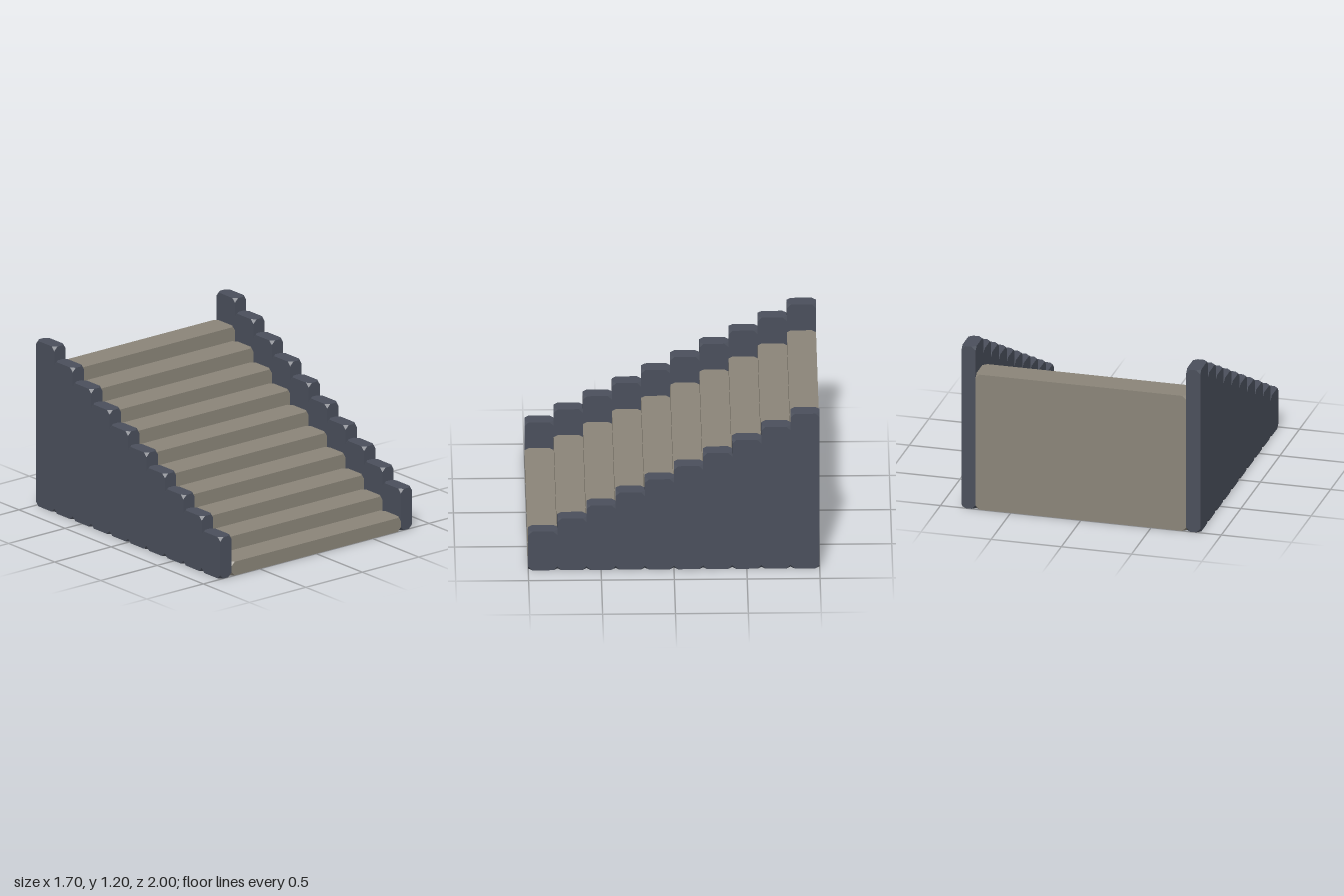
import * as THREE from 'three';
import { ConvexGeometry } from 'three/addons/geometries/ConvexGeometry.js';

const STEPS = 10, DEPTH = 0.2, RISE = 0.1, CUT = 0.028;

// Box standing on y = 0 with its eight corners cut off
function cutBlock(w, h, d) {
  const points = [];
  for (const sx of [-1, 1]) for (const sy of [-1, 1]) for (const sz of [-1, 1]) {
    for (let axis = 0; axis < 3; axis++) {
      const p = new THREE.Vector3(sx * w / 2, sy * h / 2 + h / 2, sz * d / 2);
      p.setComponent(axis, p.getComponent(axis) - [sx, sy, sz][axis] * CUT);
      points.push(p);
    }
  }
  return new ConvexGeometry(points);
}

export function createModel() {
  const stairs = new THREE.Group();
  stairs.name = 'staircase';
  const stepMaterial = new THREE.MeshStandardMaterial({ color: 0x8a8478, flatShading: true });
  const wallMaterial = new THREE.MeshStandardMaterial({ color: 0x4a4f5b, flatShading: true });

  const groups = {};
  for (const name of ['steps', 'leftWall', 'rightWall']) {
    groups[name] = new THREE.Group();
    groups[name].name = name;
    stairs.add(groups[name]);
  }

  const addBlock = (group, name, w, h, x, z, material) => {
    const mesh = new THREE.Mesh(cutBlock(w, h, DEPTH), material);
    mesh.name = name;
    mesh.position.set(x, 0, z);
    groups[group].add(mesh);
  };

  // Each row has one full-height step between two taller wall blocks
  for (let i = 0; i < STEPS; i++) {
    const z = 1 - (i + 0.5) * DEPTH;
    const height = (i + 1) * RISE;
    addBlock('steps', `step${i + 1}`, 1.5, height, 0, z, stepMaterial);
    addBlock('leftWall', `leftWallBlock${i + 1}`, 0.1, height + 0.2, 0.8, z, wallMaterial);
    addBlock('rightWall', `rightWallBlock${i + 1}`, 0.1, height + 0.2, -0.8, z, wallMaterial);
  }
  return stairs;
}
